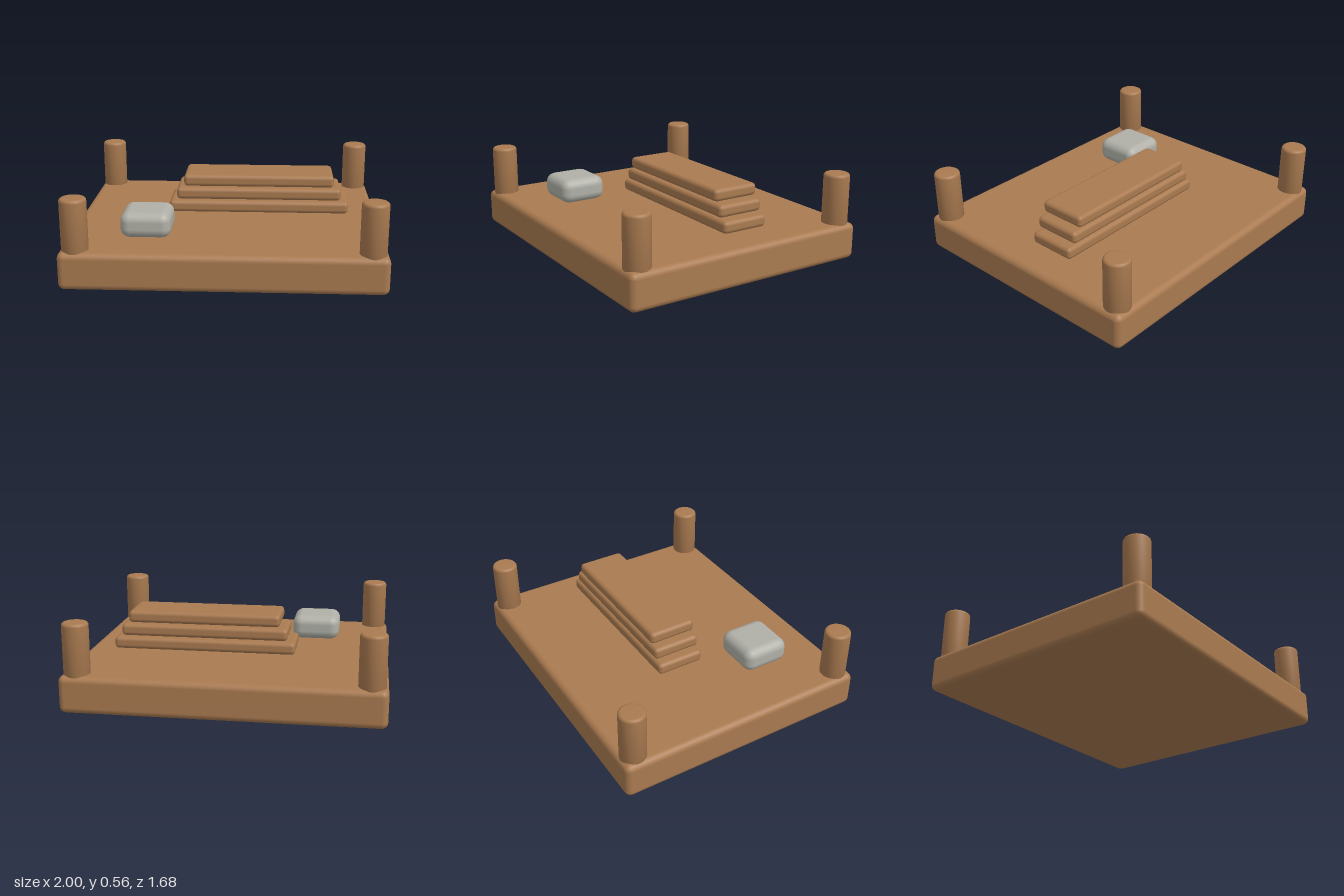
import * as THREE from 'three';
import { RoundedBoxGeometry } from 'three/addons/geometries/RoundedBoxGeometry.js';

export function createModel() {
  const model = new THREE.Group();
  model.name = 'plankPlatform';

  const wood = new THREE.MeshStandardMaterial({ color: 0xa97a50 });
  wood.name = 'wood';
  const stone = new THREE.MeshStandardMaterial({ color: 0xb0b0a8 });
  stone.name = 'stone';

  // Rounded block given by its minimum and maximum corners
  function block(name, min, max, radius, segments, material) {
    const size = max.map((v, i) => v - min[i]);
    const mesh = new THREE.Mesh(new RoundedBoxGeometry(...size, segments, radius), material);
    mesh.position.set(...max.map((v, i) => (v + min[i]) / 2));
    mesh.name = name;
    model.add(mesh);
  }

  block('base', [-1, 0, -0.838], [1, 0.238, 0.838], 0.04, 3, wood);
  block('stoneBlock', [-0.66, 0.238, 0.24], [-0.34, 0.402, 0.558], 0.06, 3, stone);

  // Three stacked planks, each shorter than the one below
  for (let i = 0; i < 3; i++) {
    const half = 0.6 - i * 0.05;
    const y = 0.263 + i * 0.09;
    block('plank' + (i + 1), [0.2 - half, y, -0.26], [0.2 + half, y + 0.079, 0.06], 0.026, 2, wood);
  }

  // Corner posts with softly rounded ends
  const r = 0.083, bottom = 0.18, top = 0.563, bevel = 0.02;
  const profile = [new THREE.Vector2(0, bottom), new THREE.Vector2(r, bottom)];
  for (let i = 0; i <= 4; i++) {
    const a = (i / 4) * Math.PI / 2;
    profile.push(new THREE.Vector2(r - bevel + bevel * Math.cos(a), top - bevel + bevel * Math.sin(a)));
  }
  profile.push(new THREE.Vector2(0, top));
  const postGeometry = new THREE.LatheGeometry(profile, 32);
  for (const x of [-0.9, 0.9]) {
    for (const z of [-0.742, 0.742]) {
      const post = new THREE.Mesh(postGeometry, wood);
      post.name = (z > 0 ? 'front' : 'back') + (x > 0 ? 'Left' : 'Right') + 'Post';
      post.position.set(x, 0, z);
      model.add(post);
    }
  }

  return model;
}
